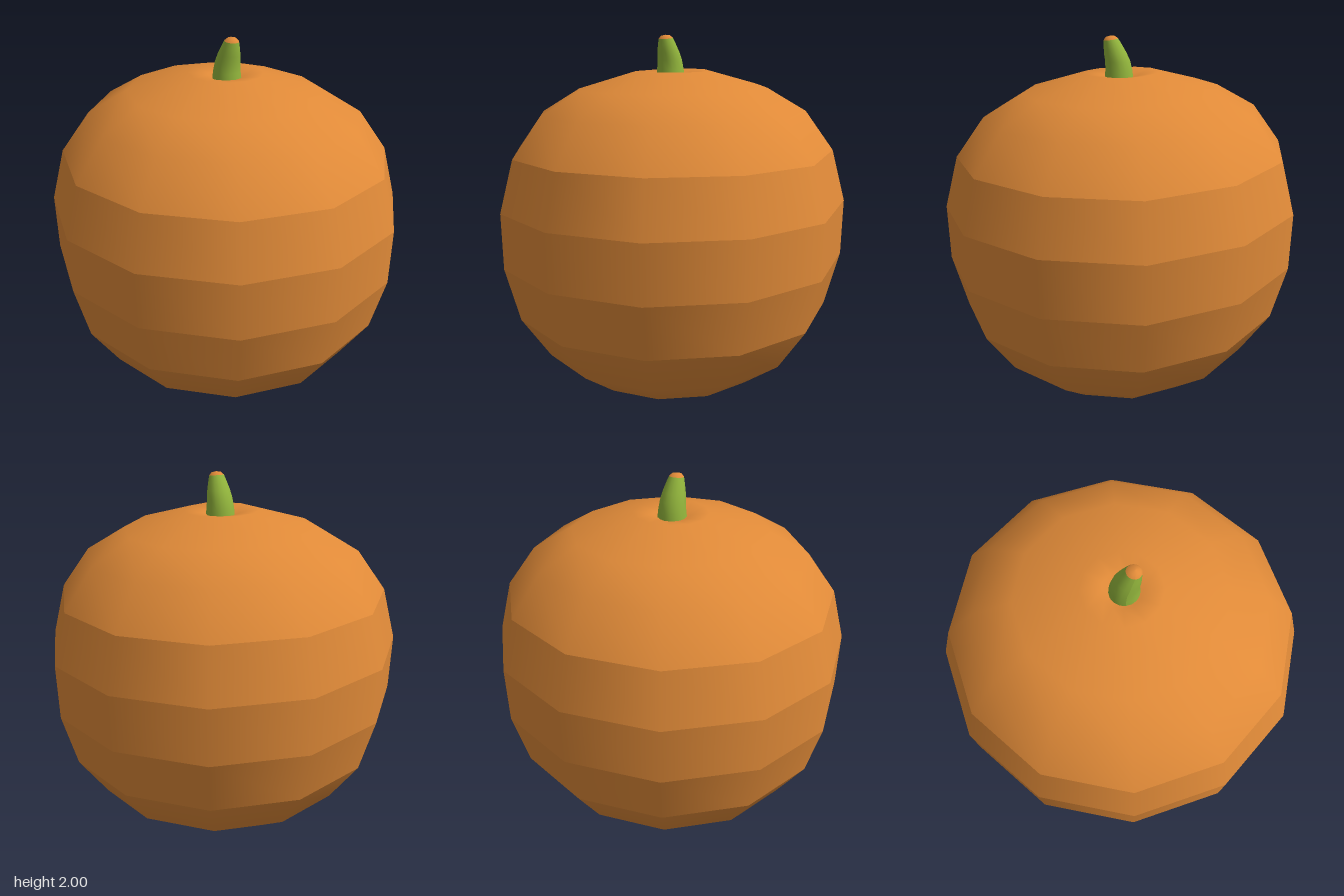
import * as THREE from 'three';

const SIDES = 12;

// Lathe of [radius, y] points, bottom to top
function lathe(points, sides = SIDES) {
  return new THREE.LatheGeometry(points.map(([r, y]) => new THREE.Vector2(r, y)), sides);
}

// Rule applied to the body: slightly narrow in depth, lifted on the -x side
function deform(geometry) {
  geometry.rotateY(-0.026);
  const p = geometry.attributes.position;
  for (let i = 0; i < p.count; i++) {
    const x = p.getX(i);
    p.setY(i, p.getY(i) + 0.045 * Math.max(0, -x));
    p.setZ(i, p.getZ(i) * 0.982);
  }
  return geometry;
}

export function createModel() {
  const orange = new THREE.MeshStandardMaterial({ color: 0xe08a38 });
  orange.name = 'orange skin';
  const green = new THREE.MeshStandardMaterial({ color: 0x92b53c });
  green.name = 'stem green';

  const model = new THREE.Group();
  model.name = 'pumpkin';
  const add = (name, geometry, material) => {
    const mesh = new THREE.Mesh(geometry, material);
    mesh.name = name;
    model.add(mesh);
  };

  // Body: smooth bottom and top, with creased bands between
  const sections = {
    bodyBottom: [[0, 0.02], [0.1, 0.003], [0.3, 0.063], [0.51, 0.14], [0.72, 0.29], [0.875, 0.517]],
    lowerBand: [[0.875, 0.517], [0.952, 0.807]],
    middleBand: [[0.952, 0.807], [0.957, 1.105]],
    upperBand: [[0.957, 1.105], [0.883, 1.38]],
    bodyTop: [[0.883, 1.38], [0.73, 1.59], [0.52, 1.715], [0.2, 1.81], [0.1, 1.795], [0, 1.76]],
  };
  for (const [name, points] of Object.entries(sections)) add(name, deform(lathe(points)), orange);

  // Stem: tapered, then bent towards +x near the top
  const bend = (geometry) => {
    const p = geometry.attributes.position;
    for (let i = 0; i < p.count; i++) {
      const x = p.getX(i), y = p.getY(i);
      const t = Math.max(0, (y - 1.85) / 0.15);
      p.setX(i, x + 0.012 + 0.048 * Math.min(1, t));
      p.setY(i, y - 0.15 * x * Math.min(1, t));
    }
    geometry.computeVertexNormals();
    return geometry;
  };
  add('stem', bend(lathe([[0.079, 1.76], [0.072, 1.82], [0.066, 1.87], [0.059, 1.91], [0.048, 1.95], [0.038, 1.982]], 16)), green);
  add('stemTip', bend(lathe([[0.038, 1.982], [0.024, 1.996], [0, 2.0]], 16)), orange);

  return model;
}
